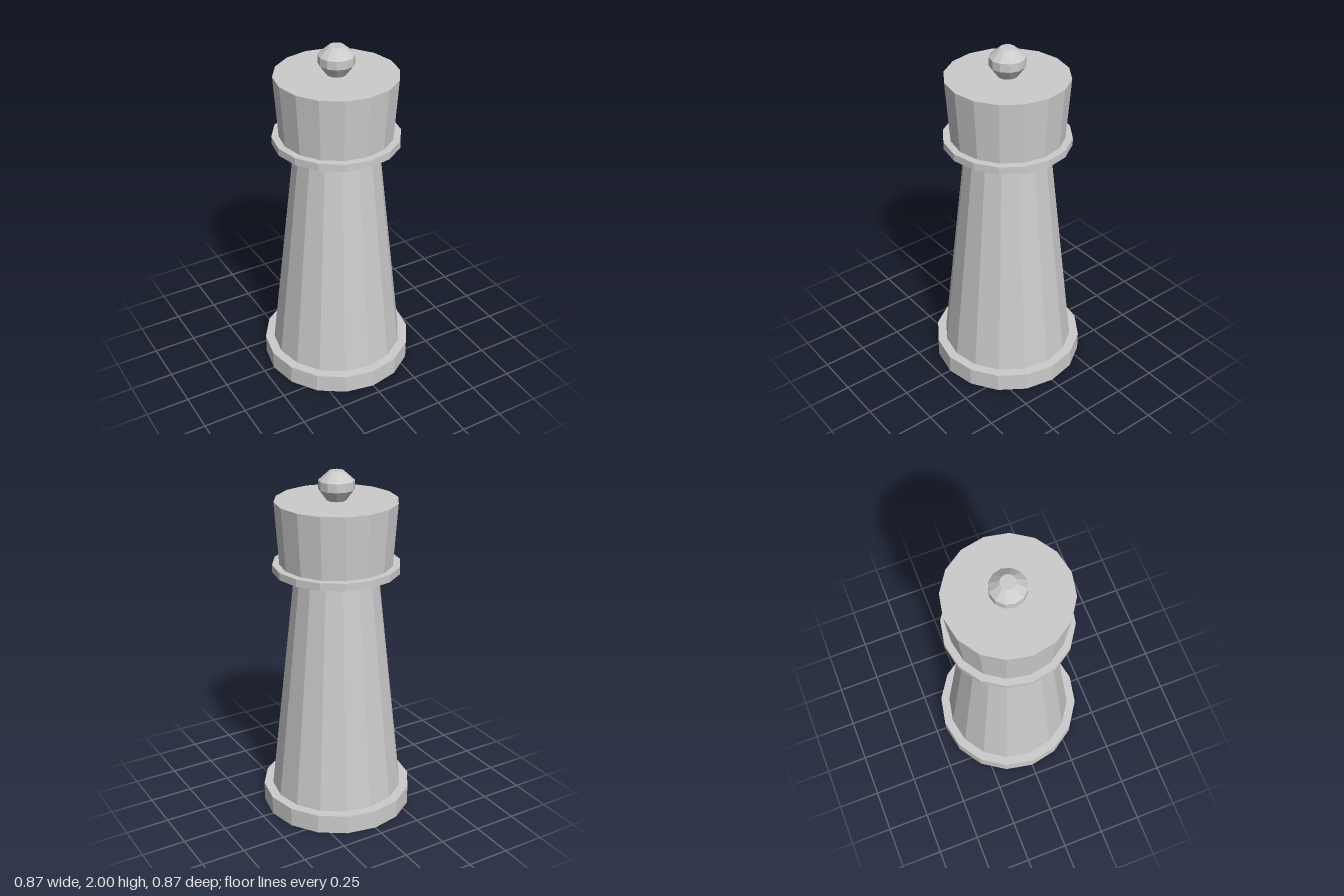
import * as THREE from 'three';

const SIDES = 16;

export function createModel() {
  const group = new THREE.Group();
  const material = new THREE.MeshStandardMaterial({ color: 0xcccccc, flatShading: true });

  // Faceted drum standing between two heights
  function addDrum(name, bottomRadius, topRadius, y0, y1) {
    const geometry = new THREE.CylinderGeometry(topRadius, bottomRadius, y1 - y0, SIDES);
    const mesh = new THREE.Mesh(geometry, material);
    mesh.name = name;
    mesh.position.y = (y0 + y1) / 2;
    group.add(mesh);
  }

  addDrum('base', 0.437, 0.437, 0, 0.112);
  addDrum('taperedBody', 0.384, 0.235, 0.112, 1.447);
  addDrum('collar', 0.357, 0.357, 1.447, 1.489);
  addDrum('flaredHead', 0.317, 0.341, 1.489, 1.842);

  // Knob on top, with a flat crown
  const profile = [[0, 1.842], [0.055, 1.842], [0.099, 1.902], [0.099, 1.95], [0.042, 2], [0, 2]]
    .map(([r, y]) => new THREE.Vector2(r, y));
  const knob = new THREE.Mesh(new THREE.LatheGeometry(profile, 12), material);
  knob.name = 'knob';
  group.add(knob);

  return group;
}
